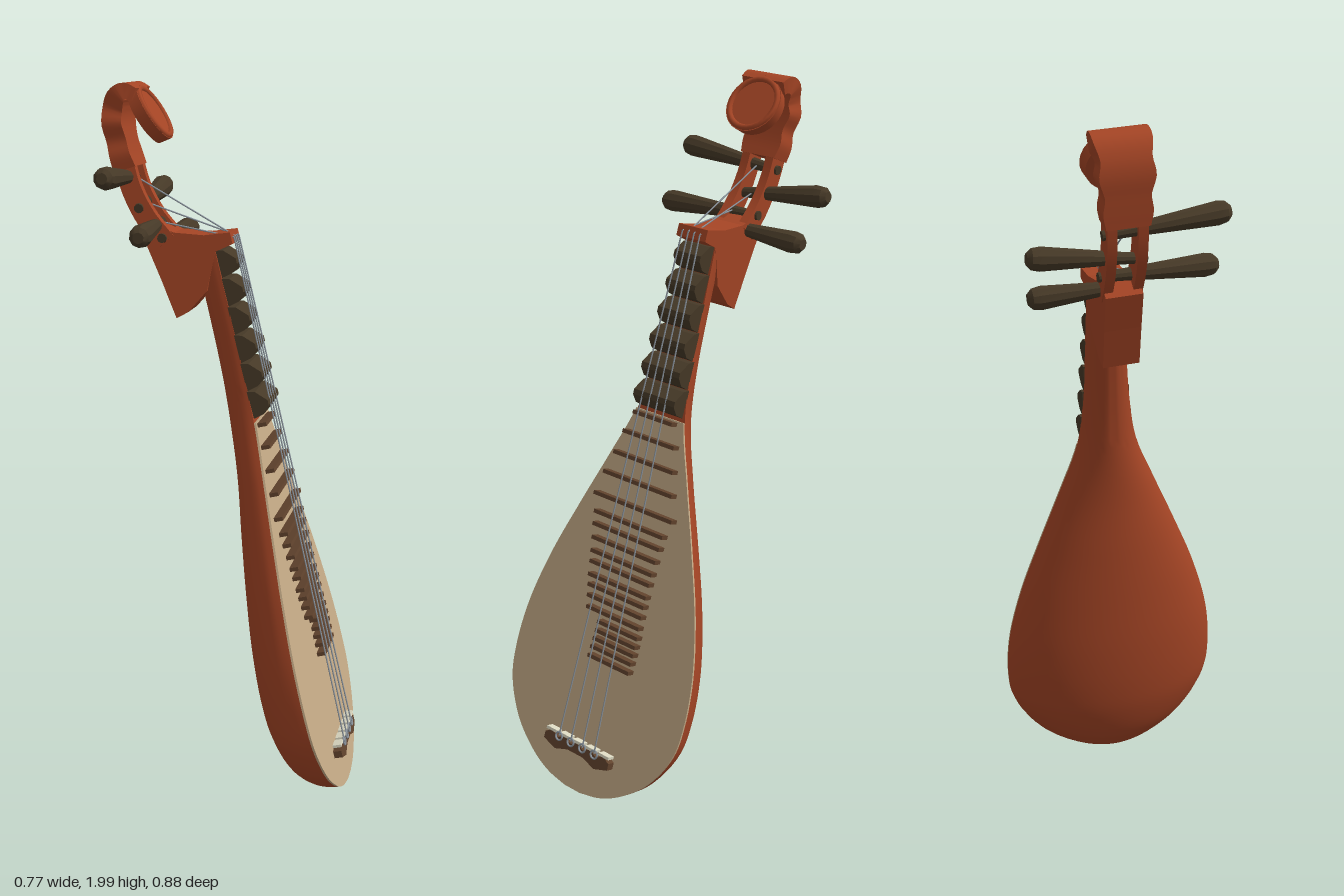
import * as THREE from 'three';
import { toCreasedNormals } from 'three/addons/utils/BufferGeometryUtils.js';

const material = (name, color) => {
  const m = new THREE.MeshStandardMaterial({ color });
  m.name = name;
  return m;
};

// Joins closed rings of points into a skin with end caps.
function loft(rings) {
  const n = rings[0].length, index = [], last = (rings.length - 1) * n;
  for (let i = 0; i < rings.length - 1; i++) {
    for (let j = 0; j < n; j++) {
      const a = i * n + j, b = i * n + (j + 1) % n;
      index.push(a, b, a + n, b, b + n, a + n);
    }
  }
  for (let j = 1; j < n - 1; j++) {
    index.push(0, j + 1, j, last, last + j, last + j + 1);
  }
  const g = new THREE.BufferGeometry();
  g.setAttribute('position', new THREE.Float32BufferAttribute(rings.flat(2), 3));
  g.setIndex(index);
  return toCreasedNormals(g, 0.6);
}

// Rectangular band following [y, z, thickness, halfWidth] stations.
function band(stations, x = 0) {
  return loft(stations.map(([y, z, t, hw], i) => {
    const p = stations[Math.max(i - 1, 0)], q = stations[Math.min(i + 1, stations.length - 1)];
    const len = Math.hypot(q[0] - p[0], q[1] - p[1]);
    const ny = -(q[1] - p[1]) / len * t / 2, nz = (q[0] - p[0]) / len * t / 2;
    return [[1, -1], [-1, -1], [-1, 1], [1, 1]].map(([a, b]) => [x + a * hw, y + b * ny, z + b * nz]);
  }));
}

// Smooths band stations with a curve through them.
function refine(stations, count) {
  const path = new THREE.CatmullRomCurve3(stations.map(s => new THREE.Vector3(s[0], s[1], 0)));
  const size = new THREE.CatmullRomCurve3(stations.map(s => new THREE.Vector3(s[2], s[3], 0)), false, 'catmullrom', 0.5);
  return Array.from({ length: count + 1 }, (_, i) => {
    const p = path.getPoint(i / count), s = size.getPoint(i / count);
    return [p.x, p.y, s.x, s.y];
  });
}

// Side outline of [z, y] points given a width along x.
function sideProfile(points, hw) {
  const shape = new THREE.Shape(points.map(([z, y]) => new THREE.Vector2(-z, y)));
  const g = new THREE.ExtrudeGeometry(shape, { depth: 2 * hw, bevelEnabled: false });
  return g.translate(0, 0, -hw).rotateY(Math.PI / 2);
}

export function createModel() {
  const redWood = material('red wood', 0xa54525);
  const paleWood = material('pale wood', 0xc4aa86);
  const darkWood = material('dark wood', 0x463927);
  const brownWood = material('brown wood', 0x61432d);
  const cream = material('cream', 0xdedbc4);
  const steel = material('string grey', 0x8d969f);

  const lute = new THREE.Group();
  lute.name = 'lute';
  const add = (name, geometry, mat, pos = [0, 0, 0]) => {
    const mesh = new THREE.Mesh(geometry, mat);
    mesh.name = name;
    mesh.position.set(...pos);
    lute.add(mesh);
    return mesh;
  };
  const up = new THREE.Vector3(0, 1, 0);
  // Places a geometry that runs along y between two points.
  const addBetween = (name, make, mat, from, to) => {
    const a = new THREE.Vector3(...from), d = new THREE.Vector3(...to).sub(a);
    const mesh = add(name, make(d.length()), mat, from);
    mesh.quaternion.setFromUnitVectors(up, d.normalize());
  };

  // Body and neck: half-oval sections; each station is height, half width, depth
  const outline = new THREE.CatmullRomCurve3([
    [0, 0.03, 0.05], [0.015, 0.1, 0.085], [0.05, 0.17, 0.12], [0.12, 0.25, 0.155],
    [0.225, 0.308, 0.175], [0.317, 0.32, 0.178], [0.455, 0.31, 0.17], [0.62, 0.269, 0.15],
    [0.795, 0.205, 0.125], [0.955, 0.142, 0.1], [1.11, 0.085, 0.085], [1.25, 0.065, 0.075],
    [1.45, 0.055, 0.07], [1.62, 0.048, 0.07],
  ].map(p => new THREE.Vector3(...p))).getPoints(78);
  add('body', loft(outline.map(({ x: y, y: h, z: d }) =>
    Array.from({ length: 25 }, (_, j) => {
      const a = Math.PI * j / 24;
      return [h * Math.cos(a), y, -d * Math.sin(a)];
    }))), redWood);

  // Soundboard
  const edge = outline.filter(p => p.x <= 1.115);
  const board = new THREE.Shape([
    ...edge.map(p => new THREE.Vector2(p.y, p.x)),
    ...edge.slice().reverse().map(p => new THREE.Vector2(-p.y, p.x)),
  ]);
  add('soundboard', new THREE.ExtrudeGeometry(board, { depth: 0.006, bevelEnabled: false }), paleWood);

  // Thin frets: height, left end, right end
  const frets = [
    [1.1, -0.075, 0.065], [1.04, -0.095, 0.09], [0.975, -0.11, 0.105], [0.912, -0.13, 0.12],
    [0.845, -0.146, 0.14], [0.795, -0.13, 0.122], [0.76, -0.125, 0.12], [0.722, -0.117, 0.118],
    [0.685, -0.11, 0.116], [0.655, -0.105, 0.115], [0.618, -0.1, 0.115], [0.59, -0.093, 0.115],
    [0.56, -0.087, 0.115], [0.528, -0.08, 0.115], [0.5, -0.03, 0.118], [0.474, -0.03, 0.118],
    [0.45, -0.032, 0.118], [0.425, -0.034, 0.117], [0.398, -0.036, 0.116],
  ];
  for (const [y, l, r] of frets) {
    add('fret', new THREE.BoxGeometry(r - l, 0.011, 0.026), brownWood, [(l + r) / 2, y, 0.018]);
  }

  // Six wedge frets on the neck
  for (let i = 0; i < 6; i++) {
    const y = 1.12 + i * 0.079;
    add('wedgeFret', sideProfile([[-0.002, y], [0.03, y + 0.008], [0.05, y + 0.03], [0.05, y + 0.045],
      [0.02, y + 0.074], [-0.002, y + 0.079]], 0.073 - i * 0.0055), darkWood);
  }

  // Bridge with a wavy outline and pale caps on its upper edge
  const wave = [];
  for (let i = 0; i <= 40; i++) {
    const x = -0.122 + 0.244 * i / 40;
    wave.push(new THREE.Vector2(x, 0.138 + 0.006 * Math.cos(x * 128)));
  }
  wave.push(new THREE.Vector2(0.122, 0.112), new THREE.Vector2(0.075, 0.097), new THREE.Vector2(0.03, 0.112),
    new THREE.Vector2(-0.03, 0.112), new THREE.Vector2(-0.075, 0.097), new THREE.Vector2(-0.122, 0.112));
  add('bridge', new THREE.ExtrudeGeometry(new THREE.Shape(wave), { depth: 0.03, bevelEnabled: false }), brownWood);
  for (let i = -2; i <= 2; i++) {
    add('bridgeCap', new THREE.BoxGeometry(0.038, 0.008, 0.024), cream, [i * 0.05, 0.146, 0.02]);
  }

  // Nut, neck end and heel
  add('neckHeel', sideProfile([[0.052, 1.6], [0.052, 1.632], [-0.02, 1.64], [-0.1, 1.665], [-0.135, 1.69],
    [-0.185, 1.655], [-0.168, 1.55], [-0.152, 1.435], [-0.115, 1.445], [-0.05, 1.49], [0, 1.59]], 0.05), redWood);

  // Open pegbox: two curved rails
  for (const s of [-1, 1]) {
    add('pegboxRail', band(refine([[1.645, -0.13, 0.06, 0.013], [1.72, -0.166, 0.058, 0.013],
      [1.8, -0.186, 0.056, 0.013], [1.88, -0.19, 0.056, 0.013]], 10), s * 0.04), redWood);
  }

  // Scroll curling forward with a flared back edge
  add('scroll', band(refine([[1.86, -0.19, 0.064, 0.057], [1.9, -0.192, 0.058, 0.064],
    [1.94, -0.192, 0.055, 0.059], [1.985, -0.19, 0.055, 0.072], [2.02, -0.18, 0.055, 0.065],
    [2.05, -0.16, 0.052, 0.074], [2.06, -0.135, 0.045, 0.074], [2.045, -0.11, 0.035, 0.07]], 24)), redWood);

  // Rounded plate with a raised rim at the tip of the scroll
  const plate = new THREE.Group();
  plate.name = 'scrollPlate';
  const disc = new THREE.Mesh(new THREE.CylinderGeometry(0.084, 0.078, 0.034, 28).rotateX(Math.PI / 2), redWood);
  disc.name = 'scrollDisc';
  const rim = new THREE.Mesh(new THREE.TorusGeometry(0.073, 0.009, 6, 28).translate(0, 0, 0.016), redWood);
  rim.name = 'scrollRim';
  plate.add(disc, rim);
  plate.position.set(0, 1.985, -0.1);
  plate.rotation.x = -0.32;
  lute.add(plate);

  // Tuning pegs, thicker toward the rounded tip
  const peg = L => toCreasedNormals(new THREE.LatheGeometry([[0, 0], [0.013, 0], [0.016, 0.07],
    [0.031, L - 0.035], [0.027, L - 0.012], [0.015, L], [0, L]].map(p => new THREE.Vector2(...p)), 10), 0.5);
  const pegs = [
    [[0.06, 1.832, -0.19], [-0.275, 1.854, -0.189]], [[0.06, 1.7, -0.15], [-0.264, 1.685, -0.137]],
    [[-0.06, 1.75, -0.178], [0.249, 1.79, -0.174]], [[-0.06, 1.658, -0.135], [0.238, 1.652, -0.125]],
  ];
  for (const [from, to] of pegs) addBetween('tuningPeg', peg, darkWood, from, to);

  // Strings from bridge over the nut into the pegbox, with a loop at the bridge
  const string = L => new THREE.CylinderGeometry(0.0022, 0.0022, L, 6).translate(0, L / 2, 0);
  const pegHeights = [[1.7, -0.148], [1.832, -0.188], [1.755, -0.176], [1.662, -0.13]];
  pegHeights.forEach(([y, z], i) => {
    const k = i - 1.5, nut = [k * 0.02, 1.616, 0.056];
    addBetween('string', string, steel, [k * 0.045, 0.14, 0.033], nut);
    addBetween('pegString', string, steel, nut, [k * 0.014, y, z + 0.012]);
    add('stringLoop', new THREE.TorusGeometry(0.012, 0.003, 5, 12), steel, [k * 0.045, 0.138, 0.033]);
  });

  // Lean and turn the whole instrument
  const V = new THREE.Vector3(-0.182, 0.963, -0.2).normalize();
  const W = new THREE.Vector3(0.507, -0.083, -0.858).cross(V).normalize();
  const U = V.clone().cross(W);
  lute.applyMatrix4(new THREE.Matrix4().makeBasis(U, V, W).setPosition(0.265, 0.012, 0.225));

  const model = new THREE.Group();
  model.name = 'model';
  model.add(lute);
  return model;
}
